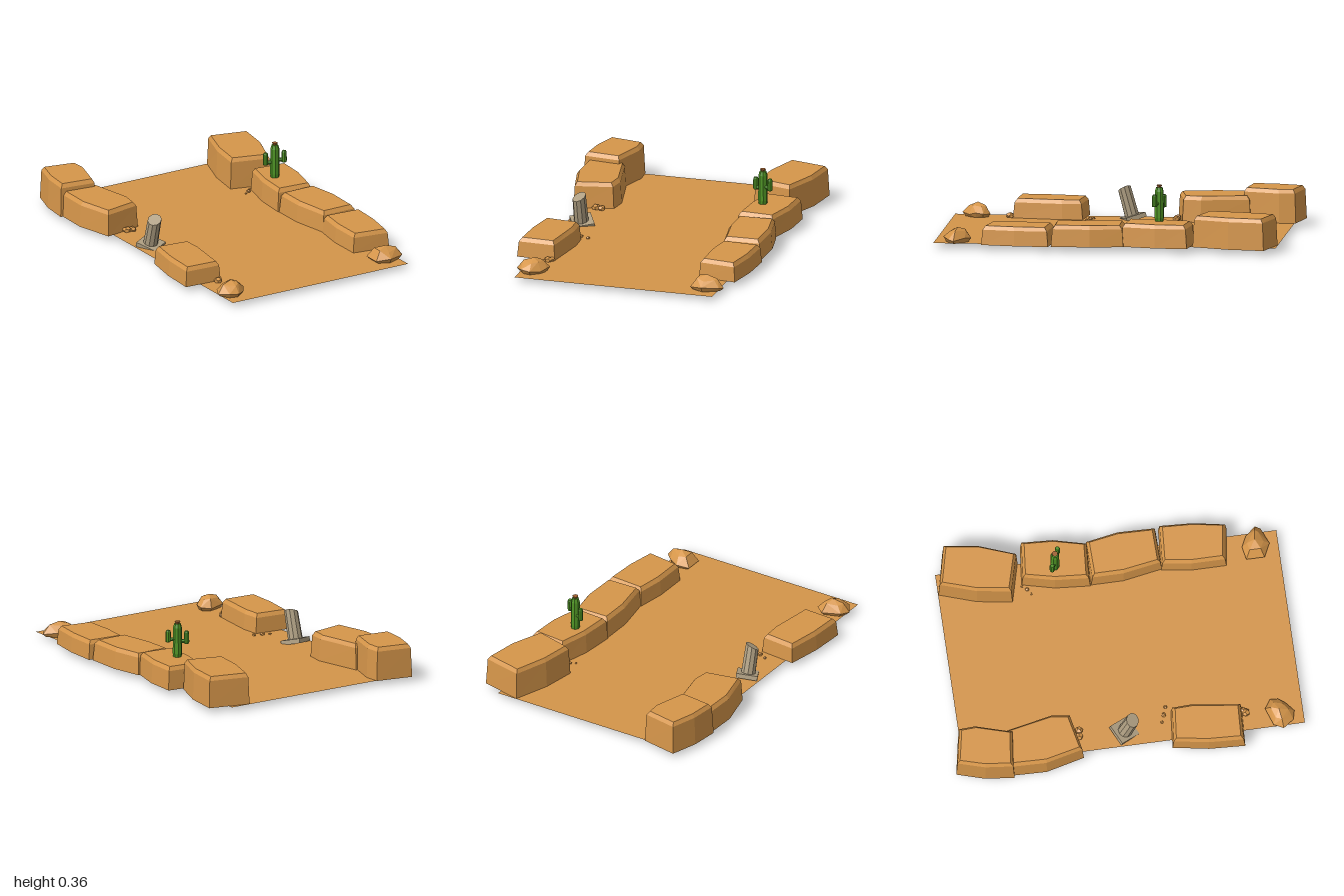
import * as THREE from 'three';
import { ConvexGeometry } from 'three/addons/geometries/ConvexGeometry.js';

const GROUND = 0.024;

function material(name, color, side = THREE.FrontSide) {
  const m = new THREE.MeshStandardMaterial({ color, flatShading: true, side });
  m.name = name;
  return m;
}

// Bevelled slab: plan outline (clockwise from above) lofted through inset rings
function slabGeometry(outline, height) {
  const n = outline.length;
  const xs = outline.map(p => p[0]), zs = outline.map(p => p[1]);
  const mid = a => (Math.min(...a) + Math.max(...a)) / 2;
  const half = a => (Math.max(...a) - Math.min(...a)) / 2;
  const cx = mid(xs), cz = mid(zs), hx = half(xs), hz = half(zs);
  const rings = [[GROUND + 0.0005, 0], [height - 0.022, 0.008], [height, 0.024]];
  const pos = [], idx = [];
  for (const [y, inset] of rings) {
    for (const [x, z] of outline) {
      pos.push(cx + (x - cx) * (1 - inset / hx), y, cz + (z - cz) * (1 - inset / hz));
    }
  }
  const bottom = pos.length / 3, top = bottom + 1;
  pos.push(cx, rings[0][0], cz, cx, height, cz);
  for (let i = 0; i < n; i++) {
    const j = (i + 1) % n;
    for (let r = 0; r < 2; r++) {
      const a = r * n + i, b = r * n + j;
      idx.push(b, a, a + n, b, a + n, b + n);
    }
    idx.push(bottom, i, j, top, 2 * n + j, 2 * n + i);
  }
  const g = new THREE.BufferGeometry();
  g.setAttribute('position', new THREE.Float32BufferAttribute(pos, 3));
  g.setIndex(idx);
  const flat = g.toNonIndexed();
  flat.computeVertexNormals();
  return flat;
}

// Faceted boulder: plan outline with a narrower foot, shoulder ring and peak
function boulderGeometry(outline, peak) {
  const [px, py, pz] = peak;
  const pts = [new THREE.Vector3(px, py, pz)];
  outline.forEach(([x, z], i) => {
    const ring = (s, y) => pts.push(new THREE.Vector3(px + (x - px) * s, y, pz + (z - pz) * s));
    const wobble = (i % 3) * 0.006;
    ring(0.8, GROUND - 0.001);
    ring(1, GROUND + 0.016 + wobble);
    ring(0.6, py - 0.016 - wobble);
  });
  return new ConvexGeometry(pts);
}

export function createModel() {
  const model = new THREE.Group();
  model.name = 'desertCanyonTile';
  const sand = material('sand', 0xd4954a, THREE.DoubleSide);
  const rock = material('rock', 0xd6964a);
  const green = material('cactusGreen', 0x4f9424);
  const bloom = material('bloom', 0xa0602f);
  const stone = material('ruinStone', 0xaf9f82);

  const add = (name, geometry, mat, parent = model, x = 0, y = 0, z = 0) => {
    const mesh = new THREE.Mesh(geometry, mat);
    mesh.name = name;
    mesh.position.set(x, y, z);
    parent.add(mesh);
    return mesh;
  };

  // Ground sheet
  add('ground', new THREE.PlaneGeometry(1.17, 1.95).rotateX(-Math.PI / 2), sand, model, -0.013, GROUND, 0.023);

  // Canyon wall slabs
  const slabs = {
    rightBackSlab: [0.215, [[-0.635, -1], [-0.42, -0.96], [-0.415, -0.865], [-0.48, -0.65], [-0.7, -0.675], [-0.683, -0.84]]],
    rightMiddleSlab: [0.172, [[-0.685, -0.7], [-0.455, -0.7], [-0.395, -0.42], [-0.41, -0.315], [-0.635, -0.27], [-0.69, -0.49]]],
    rightFrontSlab: [0.135, [[-0.645, 0.235], [-0.43, 0.255], [-0.425, 0.37], [-0.465, 0.655], [-0.69, 0.645], [-0.68, 0.44]]],
    leftBackSlab: [0.203, [[0.45, -0.95], [0.69, -0.895], [0.66, -0.69], [0.58, -0.48], [0.35, -0.54], [0.38, -0.74]]],
    leftThirdSlab: [0.157, [[0.445, -0.475], [0.665, -0.455], [0.655, -0.27], [0.605, -0.075], [0.385, -0.09], [0.4, -0.29]]],
    leftSecondSlab: [0.146, [[0.39, -0.085], [0.62, -0.09], [0.655, 0.1], [0.65, 0.32], [0.43, 0.325], [0.39, 0.1]]],
    leftFrontSlab: [0.133, [[0.425, 0.32], [0.665, 0.335], [0.655, 0.53], [0.62, 0.72], [0.4, 0.69], [0.4, 0.49]]],
  };
  for (const [name, [height, outline]] of Object.entries(slabs)) {
    add(name, slabGeometry(outline, height), rock);
  }

  // Two front boulders
  add('rightBoulder', boulderGeometry([[-0.49, 0.785], [-0.44, 0.82], [-0.445, 0.865], [-0.47, 0.905],
    [-0.525, 0.948], [-0.58, 0.935], [-0.62, 0.875], [-0.595, 0.82]], [-0.525, 0.106, 0.86]), rock);
  add('leftBoulder', boulderGeometry([[0.415, 0.805], [0.49, 0.79], [0.55, 0.82], [0.605, 0.88],
    [0.585, 0.91], [0.49, 0.948], [0.415, 0.91]], [0.505, 0.108, 0.865]), rock);

  // Pebbles: x, z, radius
  const pebbles = [[-0.505, -0.28, 0.025], [-0.47, -0.275, 0.022], [-0.495, 0.675, 0.024], [-0.48, 0.66, 0.02],
    [-0.485, 0.197, 0.009], [-0.444, 0.213, 0.014], [-0.397, 0.228, 0.011],
    [0.383, -0.428, 0.007], [0.413, -0.448, 0.012], [0.435, -0.475, 0.008]];
  pebbles.forEach(([x, z, r], i) => {
    const p = add('pebble', new THREE.DodecahedronGeometry(r), rock, model, x, GROUND + r * 0.45, z);
    p.scale.y = 0.75;
    p.rotation.y = i * 1.3;
  });

  // Cactus with two raised arms
  const cactus = new THREE.Group();
  cactus.name = 'cactus';
  cactus.position.set(0.483, 0.155, -0.28);
  cactus.rotation.y = -0.42;
  model.add(cactus);
  const stalk = (name, r, h, x, y) => {
    const profile = [[0, 0], [r * 0.9, 0], [r, h * 0.12], [r * 0.95, h * 0.88], [r * 0.7, h], [0, h]];
    add(name, new THREE.LatheGeometry(profile.map(p => new THREE.Vector2(...p)), 8), green, cactus, x, y, 0);
  };
  stalk('cactusTrunk', 0.027, 0.195, 0, 0);
  for (const [s, y, h] of [[-1, 0.076, 0.072], [1, 0.09, 0.068]]) {
    stalk('cactusArm', 0.0155, h, s * 0.053, y);
    add('cactusElbow', new THREE.CylinderGeometry(0.011, 0.011, 0.045, 6).rotateZ(Math.PI / 2),
      green, cactus, s * 0.031, y + 0.014, 0);
  }
  add('cactusFlower', new THREE.CylinderGeometry(0.018, 0.009, 0.016, 6), bloom, cactus, 0, 0.2, 0);

  // Leaning broken column on a half-sunk plinth
  const ruin = new THREE.Group();
  ruin.name = 'ruinedColumn';
  ruin.position.set(-0.508, 0.033, -0.022);
  ruin.rotation.set(0.27, 0.48, 0);
  model.add(ruin);
  add('plinth', new THREE.BoxGeometry(0.122, 0.026, 0.122), stone, ruin);
  const shaft = new THREE.CylinderGeometry(0.039, 0.042, 0.16, 10);
  const p = shaft.attributes.position;
  for (let i = 0; i < p.count; i++) {
    if (p.getY(i) > 0) p.setY(i, p.getY(i) + p.getX(i) * 0.4);
  }
  add('columnShaft', shaft, stone, ruin, -0.004, 0.09, 0);

  return model;
}
